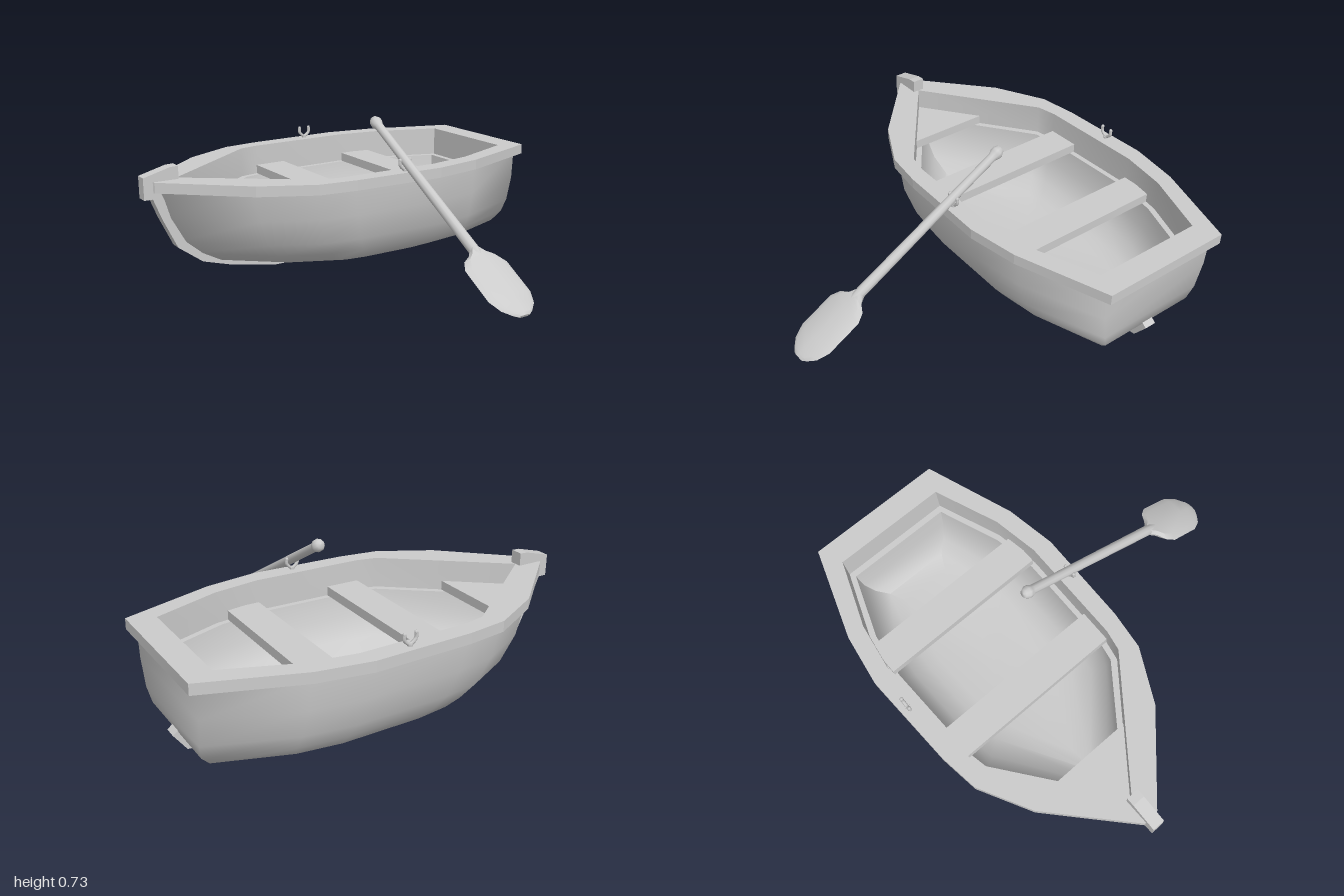
import * as THREE from 'three';
import { toCreasedNormals } from 'three/addons/utils/BufferGeometryUtils.js';

const MID = -0.415; // z of the boat's centre line
const mat = new THREE.MeshStandardMaterial({ color: 0xcccccc });

function add(parent, name, geometry, x = 0, y = 0, z = 0) {
  const mesh = new THREE.Mesh(geometry, mat);
  mesh.name = name;
  mesh.position.set(x, y, z);
  parent.add(mesh);
  return mesh;
}

// Closed plan outline from a half outline (bow first, on the centre line)
const mirrored = (half) => [...half, ...half.slice(1).reverse().map(([x, z]) => [x, -z])];

// Skin through levels [y, bowX, sternX, widthFactor] of one plan outline, capped at the last level
function loft(half, levels, inward) {
  const ring = mirrored(half), n = ring.length;
  const x0 = half[0][0], x1 = half[half.length - 1][0];
  const pos = [], index = [];
  const tri = (a, b, c) => (inward ? index.push(a, c, b) : index.push(a, b, c));
  levels.forEach(([y, bow, stern, w]) => {
    for (const [x, z] of ring) pos.push(bow + ((x - x0) / (x1 - x0)) * (stern - bow), y, z * w);
  });
  const last = levels.length - 1;
  const [y, bow, stern] = levels[last];
  pos.push((bow + stern) / 2, y, 0);
  for (let i = 0; i < n; i++) {
    const k = (i + 1) % n;
    for (let j = 0; j < last; j++) {
      const a = j * n + i, b = j * n + k;
      tri(a, a + n, b);
      tri(b, a + n, b + n);
    }
    tri((last + 1) * n, last * n + k, last * n + i);
  }
  const g = new THREE.BufferGeometry();
  g.setAttribute('position', new THREE.Float32BufferAttribute(pos, 3));
  g.setIndex(index);
  g.computeVertexNormals();
  return g;
}

const toShape = (pts) => new THREE.Shape(pts.map(([x, y]) => new THREE.Vector2(x, y)));

// Horizontal slab from a plan shape, bottom at y = 0
function slab(shape, height) {
  const g = new THREE.ExtrudeGeometry(shape, { depth: height, bevelEnabled: false });
  return g.rotateX(-Math.PI / 2);
}

// Side profile extruded across the centre line
function sideProfile(pts, width) {
  const g = new THREE.ExtrudeGeometry(toShape(pts), { depth: width, bevelEnabled: false });
  return g.translate(0, 0, -width / 2);
}

function buildBoat() {
  const boat = new THREE.Group();
  boat.name = 'boat';
  boat.position.z = MID;

  // Outer hull
  const hullPlan = [[-0.95, 0], [-0.6, 0.33], [-0.35, 0.46], [-0.16, 0.49], [0.31, 0.5], [0.56, 0.465], [0.96, 0.315]];
  add(boat, 'hull', loft(hullPlan, [
    [0.47, -0.95, 0.96, 1], [0.33, -0.91, 0.957, 0.98], [0.2, -0.84, 0.95, 0.9],
    [0.13, -0.76, 0.935, 0.82], [0.08, -0.67, 0.89, 0.74], [0.035, -0.42, 0.7, 0.54],
  ], false));

  // Inside wall, ledge and floor
  const innerPlan = [[-0.83, 0], [-0.3, 0.405], [-0.2, 0.425], [0.33, 0.437], [0.56, 0.4], [0.88, 0.28]];
  add(boat, 'interior', toCreasedNormals(loft(innerPlan, [
    [0.51, -0.83, 0.88, 1], [0.36, -0.83, 0.88, 1], [0.36, -0.79, 0.85, 0.94], [0.25, -0.77, 0.84, 0.9],
    [0.15, -0.69, 0.82, 0.78], [0.1, -0.58, 0.78, 0.6], [0.08, -0.45, 0.7, 0.45],
  ], true), 0.7));

  // Flat rim
  const rimShape = toShape([...mirrored([[-0.97, 0], [-0.95, 0.04], [-0.6, 0.355], [-0.35, 0.485], [-0.16, 0.51],
    [0.31, 0.525], [0.56, 0.485], [1, 0.335]])]);
  rimShape.holes.push(toShape(mirrored(innerPlan)));
  add(boat, 'rim', slab(rimShape, 0.05), 0, 0.46, 0);

  // Keel strip and stem post
  add(boat, 'keel', sideProfile([
    [-0.97, 0.46], [-0.92, 0.33], [-0.85, 0.18], [-0.73, 0.09], [-0.58, 0.045], [-0.34, 0], [0.54, 0],
    [0.9, 0.04], [0.96, 0.12], [0.935, 0.14], [0.87, 0.08], [0.54, 0.05], [-0.34, 0.05], [-0.56, 0.085],
    [-0.7, 0.135], [-0.8, 0.22], [-0.88, 0.36], [-0.92, 0.46],
  ], 0.06));
  add(boat, 'stemPost', sideProfile([
    [-1, 0.43], [-0.955, 0.43], [-0.94, 0.46], [-0.83, 0.46], [-0.83, 0.572], [-0.87, 0.57], [-1, 0.535],
  ], 0.06));

  // Foredeck and two benches
  add(boat, 'foredeck', slab(toShape([[-0.83, 0], [-0.555, -0.215], [-0.555, 0.215]]), 0.045), 0, 0.36, 0);
  for (const [name, x, length] of [['middleBench', -0.12, 0.86], ['rearBench', 0.415, 0.85]]) {
    add(boat, name, new THREE.BoxGeometry(0.165, 0.045, length), x, 0.3825, 0);
  }

  // U-shaped oarlocks on both sides
  for (const side of [1, -1]) {
    const lock = new THREE.Group();
    lock.name = side > 0 ? 'leftOarlock' : 'rightOarlock';
    lock.position.set(0.125, 0.51, side * 0.482);
    const u = new THREE.CatmullRomCurve3([[-0.028, 0.055], [-0.028, 0.03], [0, 0.008], [0.028, 0.03], [0.028, 0.055]]
      .map(([x, y]) => new THREE.Vector3(x, y, 0)));
    add(lock, 'fork', new THREE.TubeGeometry(u, 12, 0.008, 6));
    for (const x of [-0.028, 0.028]) add(lock, 'forkTip', new THREE.SphereGeometry(0.009, 6, 4), x, 0.054, 0);
    add(lock, 'pin', new THREE.CylinderGeometry(0.012, 0.012, 0.02, 8));
    boat.add(lock);
  }
  return boat;
}

// Oar along local +z, starting at the knob
function buildOar() {
  const oar = new THREE.Group();
  oar.name = 'oar';
  oar.position.set(0.125, 0.705, -0.18);
  oar.rotation.x = Math.atan2(0.65, 1.12);

  const shaft = [[0, -0.03], [0.02, -0.025], [0.03, -0.005], [0.03, 0.01], [0.022, 0.03], [0.022, 0.2], [0.026, 0.85], [0.026, 0.9], [0.014, 0.98], [0, 1]];
  const shaftGeo = new THREE.LatheGeometry(shaft.map(([r, y]) => new THREE.Vector2(r, y)), 10);
  add(oar, 'shaft', shaftGeo.rotateX(Math.PI / 2));

  // Blade from cross-sections: distance along the oar, half width, half thickness
  const sections = [[0.89, 0.024, 0.022], [0.92, 0.05, 0.021], [0.945, 0.092, 0.02], [0.99, 0.117, 0.019],
    [1.17, 0.117, 0.016], [1.23, 0.092, 0.014], [1.265, 0.055, 0.011], [1.28, 0.03, 0.007]];
  const section = [[1, 0], [0.72, 0.85], [0, 1], [-0.72, 0.85], [-1, 0], [-0.72, -0.85], [0, -1], [0.72, -0.85]];
  const pos = [], index = [], n = section.length;
  for (const [d, w, t] of sections) for (const [x, y] of section) pos.push(x * w, y * t, d);
  for (let j = 0; j < sections.length - 1; j++) {
    for (let i = 0; i < n; i++) {
      const a = j * n + i, b = j * n + ((i + 1) % n);
      index.push(a, b, a + n, b, b + n, a + n);
    }
  }
  const end = (sections.length - 1) * n;
  for (let i = 1; i < n - 1; i++) {
    index.push(0, i + 1, i, end, end + i, end + i + 1);
  }
  const blade = new THREE.BufferGeometry();
  blade.setAttribute('position', new THREE.Float32BufferAttribute(pos, 3));
  blade.setIndex(index);
  add(oar, 'blade', toCreasedNormals(blade, 0.7));
  return oar;
}

export function createModel() {
  const model = new THREE.Group();
  model.name = 'rowingBoat';
  model.add(buildBoat(), buildOar());
  return model;
}
